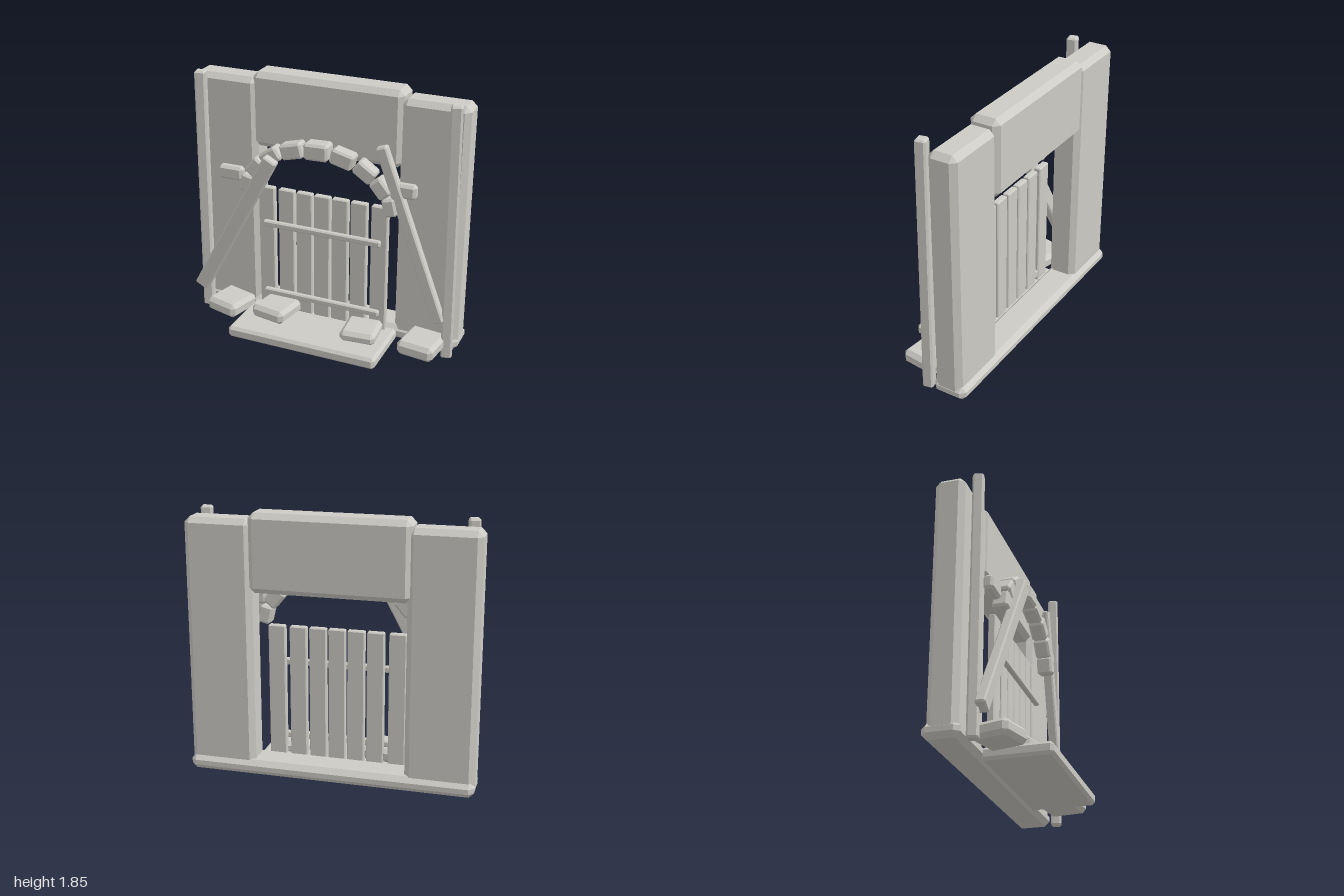
import * as THREE from 'three';
import { ConvexGeometry } from 'three/addons/geometries/ConvexGeometry.js';

const stone = new THREE.MeshStandardMaterial({ name: 'pale grey stone', color: 0xcdcbc5 });

// Box whose edges and corners are cut flat by a bevel
function chamferBox(w, h, d, b) {
  const points = [];
  for (const sx of [-1, 1]) for (const sy of [-1, 1]) for (const sz of [-1, 1]) {
    const x = w / 2, y = h / 2, z = d / 2;
    points.push(
      new THREE.Vector3(sx * x, sy * (y - b), sz * (z - b)),
      new THREE.Vector3(sx * (x - b), sy * y, sz * (z - b)),
      new THREE.Vector3(sx * (x - b), sy * (y - b), sz * z));
  }
  return new ConvexGeometry(points);
}

export function createModel() {
  const model = new THREE.Group();
  model.name = 'gateway';

  const block = (name, size, pos, bevel, ry = 0, rz = 0) => {
    const mesh = new THREE.Mesh(chamferBox(...size, bevel), stone);
    mesh.name = name;
    mesh.position.set(...pos);
    mesh.rotation.set(0, ry, rz);
    model.add(mesh);
    return mesh;
  };
  // Beam running between two end points
  const beam = (name, from, to, w, d, bevel, ry = 0) => {
    const a = new THREE.Vector3(...from), b = new THREE.Vector3(...to);
    const dir = b.clone().sub(a);
    const mesh = block(name, [w, dir.length(), d], a.clone().add(b).multiplyScalar(0.5).toArray(), bevel);
    const twist = new THREE.Quaternion().setFromAxisAngle(new THREE.Vector3(0, 1, 0), ry);
    mesh.quaternion.setFromUnitVectors(new THREE.Vector3(0, 1, 0), dir.normalize()).multiply(twist);
  };

  // Wall: sill, two pillars, lintel and the front step
  block('sill', [2, 0.105, 0.245], [0, 0.0625, -0.222], 0.035);
  block('rightPillar', [0.478, 1.79, 0.205], [-0.76, 0.907, -0.213], 0.038);
  block('leftPillar', [0.465, 1.79, 0.205], [0.765, 0.907, -0.213], 0.038);
  block('lintel', [1.1, 0.54, 0.215], [0, 1.58, -0.218], 0.038);
  block('step', [1.115, 0.085, 0.465], [0, 0.05, 0.112], 0.02);

  // Upright posts, leaning a little
  beam('rightPost', [-0.915, 0.005, -0.043], [-0.903, 1.838, -0.043], 0.078, 0.074, 0.012, 0.22);
  beam('leftPost', [0.951, 0.005, -0.043], [0.928, 1.838, -0.043], 0.078, 0.074, 0.012, 0.22);

  // Slanted braces
  beam('rightBrace', [-0.937, 0.192, 0.014], [-0.315, 1.318, 0.08], 0.102, 0.07, 0.01);
  beam('leftBrace', [0.895, 0.282, -0.015], [0.455, 1.51, 0.016], 0.078, 0.068, 0.01);

  // Door planks and rails
  [-0.426, -0.273, -0.136, -0.002, 0.133, 0.273, 0.425].forEach((x) =>
    block('plank', [0.12, 0.95, 0.05], [x, 0.565, -0.081], 0.007));
  for (const y of [0.225, 0.77])
    block('rail', [0.885, 0.045, 0.042], [0, y, -0.043], 0.009);

  // Arch stones: x, y, tilt, length, height
  block('keystone', [0.177, 0.118, 0.125], [0, 1.404, 0.003], 0.017, 0, 0.03);
  const archStones = [
    [0.183, 1.38, 0.25, 0.163, 0.11],
    [0.344, 1.314, 0.6, 0.15, 0.104],
    [0.46, 1.215, 0.88, 0.137, 0.103],
    [0.528, 1.093, 1.34, 0.128, 0.094],
  ];
  for (const side of [-1, 1])
    for (const [x, y, tilt, length, height] of archStones)
      block('archStone', [length, height, 0.11], [side * x, y, 0.002], 0.015, 0, -side * tilt);

  // Single bricks beside the arch
  block('rightBrick', [0.185, 0.1, 0.07], [-0.672, 1.13, -0.018], 0.018);
  block('leftBrick', [0.18, 0.1, 0.07], [0.61, 1.215, -0.008], 0.018);

  // Loose slabs on the ground
  block('slab', [0.265, 0.107, 0.27], [-0.68, 0.113, 0.04], 0.028, -0.26);
  block('slab', [0.268, 0.1, 0.272], [-0.31, 0.146, 0.047], 0.028, -0.18);
  block('slab', [0.252, 0.085, 0.26], [0.355, 0.123, 0.06], 0.026, 0.09);
  block('slab', [0.268, 0.107, 0.28], [0.797, 0.118, 0.047], 0.028, -0.12);

  return model;
}
